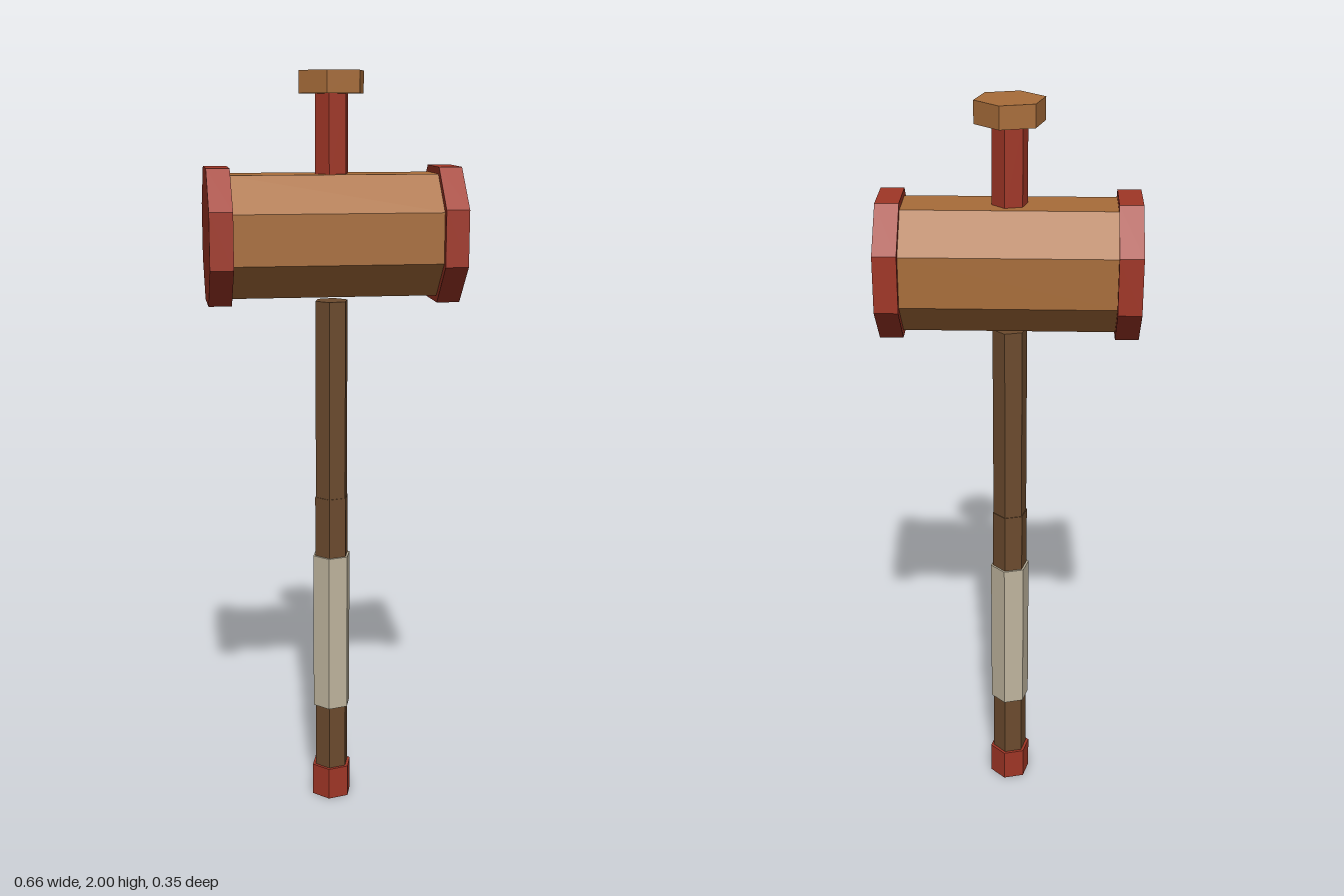
import * as THREE from 'three';

export function createModel() {
  const model = new THREE.Group();
  model.name = 'mallet';

  const material = (name, color) => {
    const m = new THREE.MeshStandardMaterial({ color, flatShading: true });
    m.name = name;
    return m;
  };
  const wood = material('light wood', 0xa86d3a);
  const darkWood = material('dark wood', 0x6c4b2e);
  const red = material('red paint', 0xa03626);
  const wrap = material('grip wrap', 0xbfb59e);

  // Upright hexagonal bar between two heights, all turned the same way
  const hexBar = (name, radius, y0, y1, mat) => {
    const geo = new THREE.CylinderGeometry(radius, radius, y1 - y0, 6, 1, false, Math.PI / 4);
    const mesh = new THREE.Mesh(geo, mat);
    mesh.name = name;
    mesh.position.y = (y0 + y1) / 2;
    model.add(mesh);
  };

  // Octagonal drum lying along x, flat side up; apothem is half its height
  const drum = (name, apothem, x0, x1, mat) => {
    const r = apothem / Math.cos(Math.PI / 8);
    const geo = new THREE.CylinderGeometry(r, r, x1 - x0, 8, 1, false, Math.PI / 8);
    geo.rotateZ(Math.PI / 2);
    const mesh = new THREE.Mesh(geo, mat);
    mesh.name = name;
    mesh.position.set((x0 + x1) / 2, 1.586, 0);
    model.add(mesh);
  };

  // Handle, from the ground up
  hexBar('pommel', 0.057, 0, 0.09, red);
  hexBar('lowerHandle', 0.048, 0.09, 0.275, darkWood);
  hexBar('grip', 0.054, 0.272, 0.712, wrap);
  hexBar('handleCollar', 0.048, 0.71, 0.878, darkWood);
  hexBar('shaft', 0.046, 0.878, 1.413, darkWood);

  // Head with its two striking caps
  drum('head', 0.156, -0.275, 0.275, wood);
  drum('leftCap', 0.174, 0.268, 0.328, red);
  drum('rightCap', 0.174, -0.328, -0.268, red);

  // Pin and nut above the head
  hexBar('pin', 0.046, 1.73, 1.945, red);
  hexBar('nut', 0.09, 1.943, 2, wood);

  return model;
}
